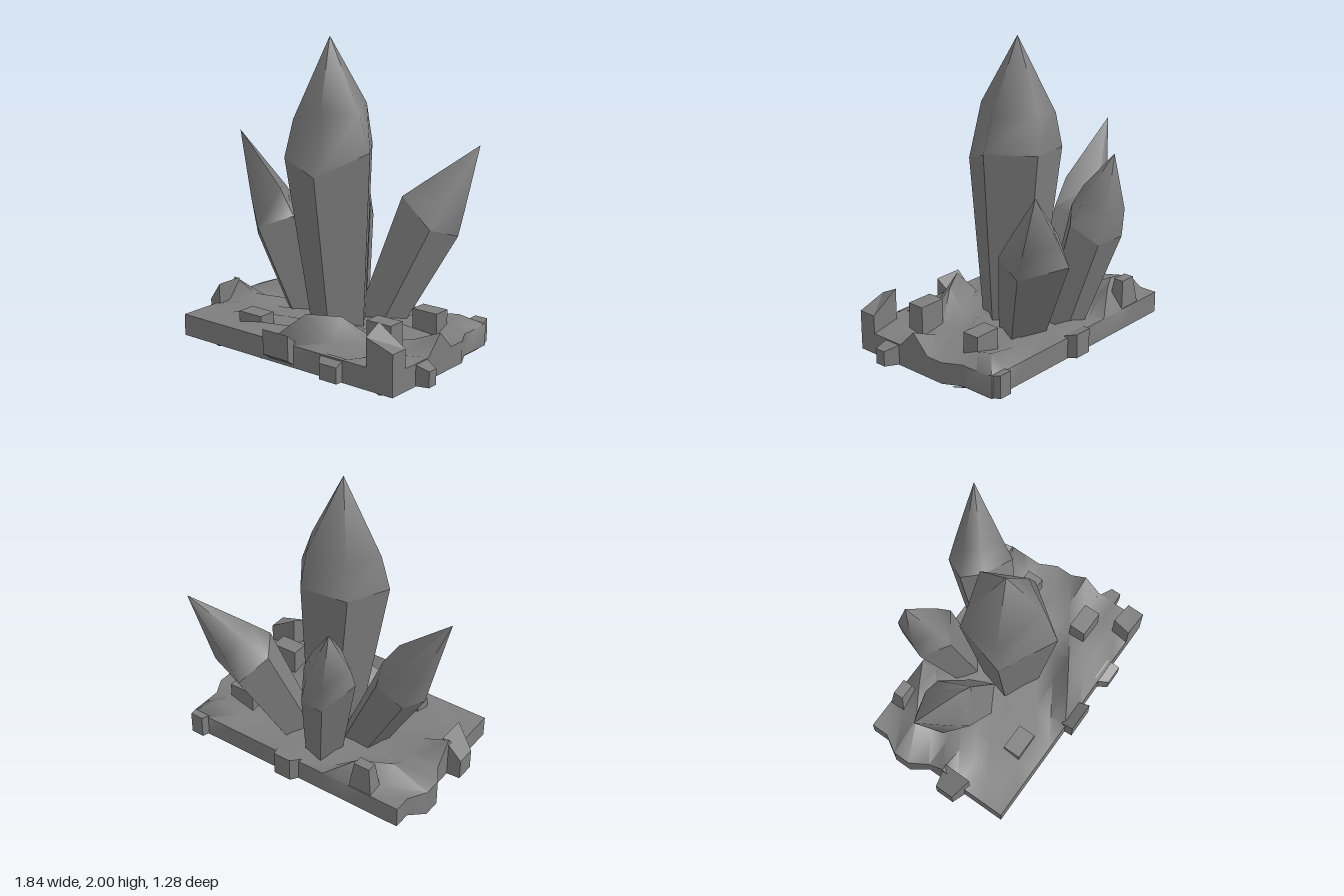
import * as THREE from 'three';
import { toCreasedNormals } from 'three/addons/utils/BufferGeometryUtils.js';

const material = new THREE.MeshStandardMaterial({ color: 0x7e7e7e });

function addMesh(group, name, geometry) {
  const mesh = new THREE.Mesh(geometry, material);
  mesh.name = name;
  group.add(mesh);
}

// Skin over rings of points, each running counterclockwise seen from above
function skin(rings, crease) {
  const positions = [];
  const tri = (...pts) => pts.forEach((p) => positions.push(p.x, p.y, p.z));
  for (let r = 0; r < rings.length - 1; r++) {
    const low = rings[r], high = rings[r + 1];
    low.forEach((p, i) => {
      const j = (i + 1) % low.length;
      tri(p, low[j], high[j]);
      if (high[i] !== high[j]) tri(p, high[j], high[i]);
    });
  }
  const geometry = new THREE.BufferGeometry();
  geometry.setAttribute('position', new THREE.Float32BufferAttribute(positions, 3));
  return toCreasedNormals(geometry, crease);
}

// Crystal: faceted flaring shaft below a smooth pointed tip
function crystal(name, tipPoint, shoulderPoints, bulgePoints, foot, footScale) {
  const group = new THREE.Group();
  group.name = name;
  const toVector = (p) => new THREE.Vector3(...p);
  const tip = toVector(tipPoint), base = toVector(foot);
  const shoulder = shoulderPoints.map(toVector), bulge = bulgePoints.map(toVector);
  const center = new THREE.Vector3();
  shoulder.forEach((p) => center.addScaledVector(p, 1 / shoulder.length));
  const bottom = shoulder.map((p) => p.clone().sub(center).multiplyScalar(footScale).add(base));
  addMesh(group, 'shaft', skin([bottom, shoulder], 0.1));
  addMesh(group, 'tip', skin([shoulder, bulge, shoulder.map(() => tip)], 1.5));
  return group;
}

// Rock slab: gridded box with a lumpy top and chipped ends
function slab() {
  const geometry = new THREE.BoxGeometry(1.66, 0.14, 1.05, 9, 1, 9).translate(0, 0.14, 0.055);
  const peaks = [
    [0.09, 0.46, 0.38], [0.28, 0.35, 0.37], [-0.83, 0.11, 0.35], [-0.65, -0.24, 0.31],
    [-0.46, -0.35, 0.33], [0.83, 0.11, 0.33], [0.65, -0.35, 0.28], [-0.65, 0.11, 0.27],
    [0.46, 0, 0.27],
  ];
  const pos = geometry.attributes.position;
  for (let i = 0; i < pos.count; i++) {
    const x = pos.getX(i), z = pos.getZ(i);
    const col = Math.round((x + 0.83) / 0.1844), row = Math.round((z + 0.47) / 0.1167);
    const chip = col === 0 && (row === 2 || row === 3);
    if (pos.getY(i) > 0.14) {
      const peak = peaks.find(([px, pz]) => Math.hypot(px - x, pz - z) < 0.06);
      if (peak) pos.setY(i, peak[2]);
      else if (col > 0 && col < 9 && row > 0 && row < 9) {
        pos.setY(i, 0.22 + 0.03 * Math.sin(col * 2.3 + row * 4.1));
      }
    } else if (chip) {
      pos.setY(i, 0.03);
    }
    if (chip) pos.setX(i, -0.9);
    if (col === 9 && row < 3) pos.setX(i, 0.77);
  }
  return toCreasedNormals(geometry, 1.1);
}

// Underside: fine grid with a small downward tooth at every second point
function underside() {
  const geometry = new THREE.PlaneGeometry(1.66, 1.05, 18, 18).rotateX(Math.PI / 2);
  const pos = geometry.attributes.position;
  for (let i = 0; i < pos.count; i++) {
    const col = i % 19, row = Math.floor(i / 19);
    const inner = col > 0 && col < 18 && row > 0 && row < 18;
    const tooth = inner && col % 2 === 0 && row % 2 === 0;
    pos.setY(i, tooth ? 0.01 * (1 + Math.sin(col * 1.7 + row)) : inner ? 0.045 : 0.07);
    if (col === 18 && pos.getZ(i) < -0.25) pos.setX(i, 0.77);
  }
  return geometry.translate(0, 0, 0.055);
}

// Block between two corners with its top narrowed
function block([x0, y0, z0], [x1, y1, z1], taper) {
  const geometry = new THREE.BoxGeometry(x1 - x0, y1 - y0, z1 - z0);
  const pos = geometry.attributes.position;
  for (let i = 0; i < pos.count; i++) {
    if (pos.getY(i) > 0) pos.setXYZ(i, pos.getX(i) * taper, pos.getY(i), pos.getZ(i) * taper);
  }
  geometry.translate((x0 + x1) / 2, (y0 + y1) / 2, (z0 + z1) / 2);
  return toCreasedNormals(geometry, 0.1);
}

// Nub along x or z; each end is a rectangle [across0, across1, y0, y1]
function nub(axis, innerAt, outerAt, innerRect, outerRect) {
  const geometry = new THREE.BoxGeometry(1, 1, 1);
  const pos = geometry.attributes.position;
  const along = axis === 'x' ? 0 : 2, across = 2 - along;
  const sign = Math.sign(outerAt);
  for (let i = 0; i < pos.count; i++) {
    const isOuter = pos.getComponent(i, along) * sign > 0;
    const rect = isOuter ? outerRect : innerRect;
    const side = pos.getComponent(i, across) > 0 ? 1 : 0;
    pos.setComponent(i, along, isOuter ? outerAt : innerAt);
    pos.setComponent(i, across, rect[side]);
    pos.setY(i, rect[pos.getY(i) > 0 ? 3 : 2]);
  }
  return toCreasedNormals(geometry, 0.1);
}

export function createModel() {
  const model = new THREE.Group();
  model.name = 'crystalCluster';
  addMesh(model, 'rockSlab', slab());
  addMesh(model, 'underside', underside());

  // Blocks standing on the slab
  [
    [[-0.46, 0.15, 0.34], [-0.28, 0.28, 0.46], 1],
    [[0.46, 0.15, 0.23], [0.64, 0.39, 0.345], 1],
    [[0.46, 0.15, -0.235], [0.64, 0.34, -0.12], 1],
    [[-0.64, 0.15, -0.47], [-0.46, 0.39, -0.355], 0.6],
  ].forEach((spec) => addMesh(model, 'topBlock', block(...spec)));

  // Nubs on the sides of the slab
  [
    ['z', 0.55, 0.64, [-0.09, 0.09, 0.07, 0.22], [-0.1, 0.1, 0.13, 0.29]],
    ['z', 0.55, 0.64, [0.28, 0.46, 0.07, 0.21], [0.34, 0.47, 0.08, 0.18]],
    ['z', -0.45, -0.525, [-0.1, 0.09, 0.07, 0.22], [-0.06, 0.06, 0.08, 0.24]],
    ['z', -0.43, -0.52, [0.64, 0.77, 0.07, 0.21], [0.66, 0.75, 0.08, 0.23]],
    ['x', -0.79, -0.92, [0.11, 0.3, 0.07, 0.35], [0.12, 0.25, 0.07, 0.21]],
    ['x', 0.8, 0.92, [0.23, 0.36, 0.07, 0.21], [0.28, 0.35, 0.08, 0.18]],
  ].forEach((spec) => addMesh(model, 'sideNub', nub(...spec)));

  // Front corner block with a peaked inner corner
  const corner = new THREE.BoxGeometry(0.19, 0.2, 0.12).translate(0.735, 0.25, 0.52);
  const pos = corner.attributes.position;
  for (let i = 0; i < pos.count; i++) {
    if (pos.getY(i) < 0.3) continue;
    const left = pos.getX(i) < 0.73, back = pos.getZ(i) < 0.52;
    pos.setY(i, 0.33 + (left ? 0.06 : 0) + (back && left ? 0.06 : 0));
  }
  addMesh(model, 'cornerBlock', toCreasedNormals(corner, 0.1));

  // Crystals: tip, shoulder ring, ring within the tip, foot centre, foot scale
  model.add(
    crystal('mainCrystal', [-0.05, 2, 0.06], [
      [0.07, 1.19, 0.36], [0.26, 1.32, 0.06], [0.07, 1.32, -0.21],
      [-0.23, 1.3, -0.15], [-0.31, 1.24, 0.19],
    ], [
      [0.05, 1.57, 0.27], [0.18, 1.54, 0.06], [0.04, 1.57, -0.19],
      [-0.2, 1.52, -0.12], [-0.27, 1.48, 0.15],
    ], [0.03, 0.13, 0.04], 0.6),
    crystal('rightCrystal', [-0.87, 1.32, -0.01], [
      [-0.57, 0.74, 0.16], [-0.38, 0.82, 0.03], [-0.46, 0.79, -0.17],
      [-0.64, 0.69, -0.15], [-0.69, 0.65, 0.03],
    ], [
      [-0.66, 0.91, 0.12], [-0.49, 0.99, 0.03], [-0.6, 0.96, -0.15],
      [-0.72, 0.89, -0.13], [-0.745, 0.86, 0.02],
    ], [-0.25, 0.15, -0.01], 0.75),
    crystal('backCrystal', [-0.33, 1.3, -0.48], [
      [-0.26, 0.93, -0.21], [-0.06, 0.88, -0.36], [-0.15, 0.76, -0.51],
      [-0.33, 0.78, -0.55], [-0.42, 0.88, -0.33],
    ], [
      [-0.28, 1.06, -0.28], [-0.15, 1.05, -0.4], [-0.2, 0.95, -0.53],
      [-0.34, 0.96, -0.56], [-0.42, 1.02, -0.38],
    ], [-0.11, 0.15, -0.24], 0.7),
    crystal('leftCrystal', [0.59, 1.3, -0.64], [
      [0.48, 0.81, -0.26], [0.55, 0.74, -0.47], [0.25, 0.77, -0.61],
      [0.15, 0.9, -0.44], [0.23, 0.98, -0.31],
    ], [
      [0.51, 0.96, -0.37], [0.565, 0.91, -0.52], [0.35, 0.94, -0.62],
      [0.28, 1.02, -0.5], [0.33, 1.07, -0.4],
    ], [0.14, 0.15, -0.14], 0.65),
  );
  return model;
}
